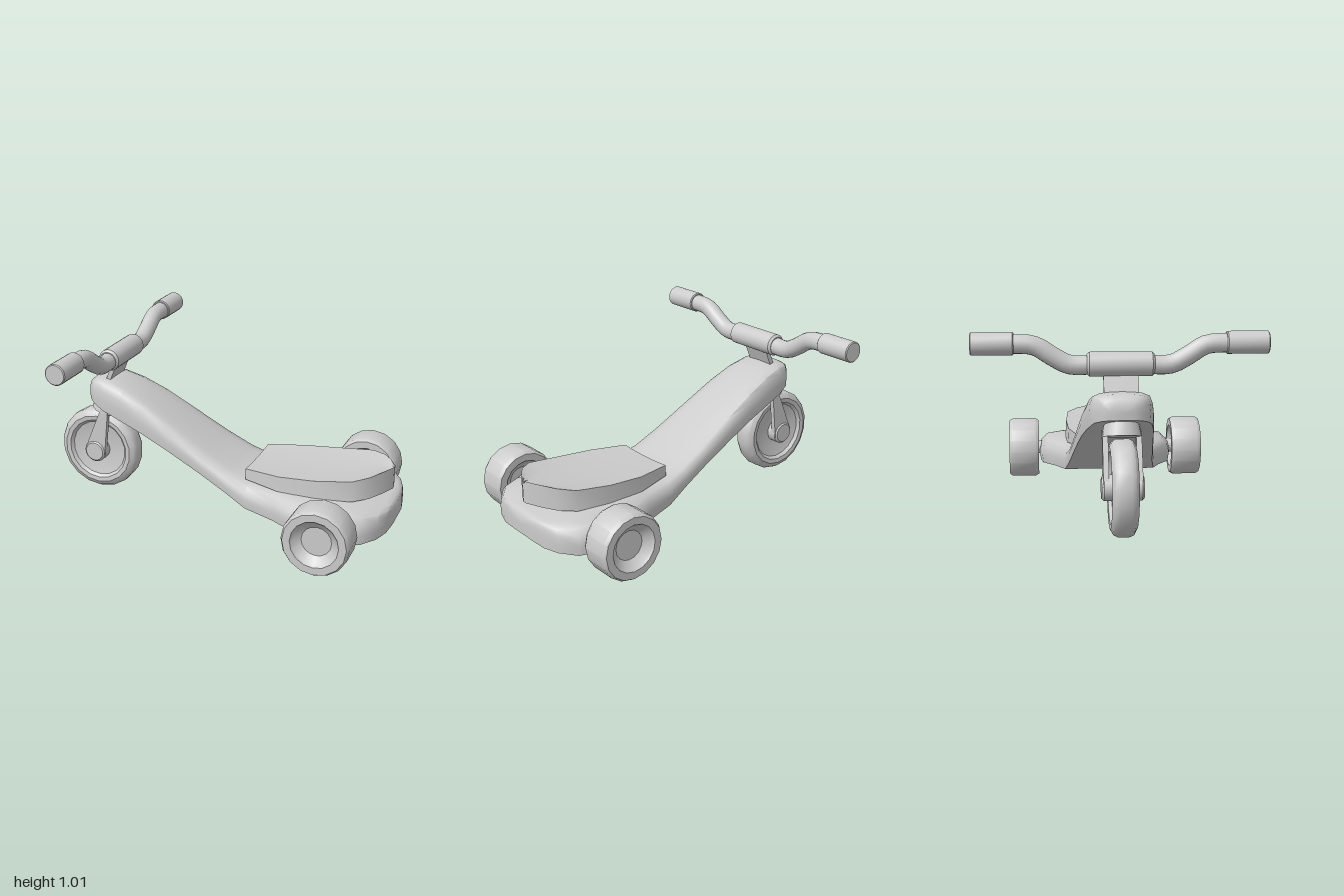
import * as THREE from 'three';
import { toCreasedNormals } from 'three/addons/utils/BufferGeometryUtils.js';

const material = new THREE.MeshStandardMaterial({ color: 0xcccccc, side: THREE.DoubleSide });
const v2 = (a) => a.map(([x, y]) => new THREE.Vector2(x, y));

function add(parent, name, geometry, crease = 0.6) {
  const mesh = new THREE.Mesh(toCreasedNormals(geometry, crease), material);
  mesh.name = name;
  parent.add(mesh);
  return mesh;
}

// Skins stations [x, halfWidth, bottom, top] with a half section of [width, height] fractions
function loft(stations, half) {
  const section = [...half, ...half.slice(0, -1).reverse().map(([w, h]) => [-w, h])];
  const n = section.length;
  const pos = [];
  const index = [];
  for (const [x, w, lo, hi] of stations)
    for (const [a, b] of section) pos.push(x, lo + (hi - lo) * b, a * w);
  for (let i = 0; i < stations.length - 1; i++)
    for (let j = 0; j < n; j++) {
      const a = i * n + j, b = i * n + (j + 1) % n;
      index.push(a, a + n, b, b, a + n, b + n);
    }
  // End caps
  [0, stations.length - 1].forEach((i, end) => {
    const [x, , lo, hi] = stations[i];
    const c = pos.length / 3;
    pos.push(x, (lo + hi) / 2, 0);
    for (let j = 0; j < n; j++) {
      const a = i * n + j, b = i * n + (j + 1) % n;
      if (end) index.push(c, b, a);
      else index.push(c, a, b);
    }
  });
  const g = new THREE.BufferGeometry();
  g.setAttribute('position', new THREE.Float32BufferAttribute(pos, 3));
  g.setIndex(index);
  return g;
}

// Wheel turned about the z axis from a half profile of [radius, z], hub to tread
function wheel(half, segments = 16) {
  const profile = [...half.map(([r, z]) => [r, -z]), ...[...half].reverse()];
  return new THREE.LatheGeometry(v2(profile), segments).rotateX(Math.PI / 2);
}

// Cylinder along z with chamfered ends
function roundBar(r, length, chamfer = 0.01) {
  const h = length / 2;
  return wheel([[0, h], [r - chamfer, h], [r, h - chamfer]], 20);
}

export function createModel() {
  const model = new THREE.Group();
  model.name = 'tricycle';

  // Body: narrow raised neck sweeping down to a broad rear deck
  add(model, 'body', loft([
    [-0.785, 0.06, 0.595, 0.66],
    [-0.77, 0.1, 0.59, 0.695],
    [-0.73, 0.14, 0.575, 0.715],
    [-0.665, 0.16, 0.545, 0.72],
    [-0.55, 0.175, 0.505, 0.685],
    [-0.415, 0.19, 0.455, 0.62],
    [-0.255, 0.205, 0.385, 0.525],
    [-0.045, 0.225, 0.285, 0.4],
    [0.1, 0.24, 0.21, 0.325],
    [0.225, 0.26, 0.145, 0.28],
    [0.4, 0.31, 0.128, 0.275],
    [0.55, 0.385, 0.118, 0.275],
    [0.65, 0.4, 0.114, 0.275],
    [0.8, 0.4, 0.112, 0.275],
    [0.89, 0.37, 0.11, 0.262],
    [0.955, 0.28, 0.11, 0.25],
    [0.985, 0.19, 0.112, 0.245],
    [1.0, 0.1, 0.125, 0.225],
  ], [[0.98, 0], [1, 0.35], [0.97, 0.65], [0.88, 0.87], [0.65, 0.96], [0.35, 0.99], [0, 1]]), 0.85);

  // Seat: shallow dish rising toward the back
  add(model, 'seat', loft([
    [0.2, 0.185, 0.285, 0.345],
    [0.4, 0.235, 0.268, 0.352],
    [0.6, 0.243, 0.268, 0.365],
    [0.8, 0.228, 0.275, 0.388],
    [0.88, 0.165, 0.28, 0.4],
    [0.93, 0.09, 0.285, 0.408],
    [0.97, 0.012, 0.29, 0.412],
  ], [[1, 0], [0.98, 1], [0.65, 0.93], [0.3, 0.89], [0, 0.88]]));

  // Rear wheels and axle
  const rear = new THREE.Group();
  rear.name = 'rearWheels';
  model.add(rear);
  for (const side of [-1, 1]) {
    add(rear, side > 0 ? 'leftRearWheel' : 'rightRearWheel', wheel([
      [0, 0.045], [0.08, 0.045], [0.12, 0.075], [0.128, 0.089], [0.168, 0.089], [0.18, 0.07],
    ])).position.set(0.713, 0.183, side * 0.494);
  }
  add(rear, 'rearAxle', roundBar(0.04, 0.9)).position.set(0.713, 0.183, 0);

  // Front wheel
  add(model, 'frontWheel', wheel([
    [0, 0.03], [0.1, 0.03], [0.165, 0.045], [0.18, 0.062], [0.205, 0.065], [0.232, 0.05], [0.242, 0.03],
  ], 18)).position.set(-0.76, 0.26, 0);

  // Fork: two tapered legs with round hub caps, hung from a collar
  const fork = new THREE.Group();
  fork.name = 'fork';
  model.add(fork);
  const leg = new THREE.Shape(v2([[-0.82, 0.275], [-0.7, 0.24], [-0.668, 0.53], [-0.712, 0.53]]));
  for (const side of [-1, 1]) {
    add(fork, 'forkLeg', new THREE.ExtrudeGeometry(leg, { depth: 0.028, bevelEnabled: false }))
      .position.z = side * 0.083 - 0.014;
    add(fork, 'hubCap', roundBar(0.065, 0.08, 0.012)).position.set(-0.76, 0.26, side * 0.065);
  }
  const collar = add(fork, 'forkCollar', new THREE.CylinderGeometry(0.08, 0.1, 0.1, 16));
  collar.position.set(-0.69, 0.55, 0);
  collar.rotation.z = -0.24;

  // Steering: flat stem, clamp, bent bars and grips
  const steering = new THREE.Group();
  steering.name = 'steering';
  model.add(steering);
  const stem = add(steering, 'stem', new THREE.BoxGeometry(0.025, 0.2, 0.172));
  stem.position.set(-0.645, 0.745, 0);
  stem.rotation.z = -0.4;
  add(steering, 'clamp', roundBar(0.061, 0.335, 0.012)).position.set(-0.615, 0.85, 0);
  for (const side of [-1, 1]) {
    const path = new THREE.CatmullRomCurve3(
      [[0.12, 0.848], [0.25, 0.848], [0.335, 0.89], [0.425, 0.943], [0.55, 0.952]]
        .map(([z, y]) => new THREE.Vector3(-0.615, y, side * z)));
    add(steering, 'handlebar', new THREE.TubeGeometry(path, 14, 0.048, 16));
    add(steering, 'grip', roundBar(0.057, 0.212, 0.005)).position.set(-0.615, 0.953, side * 0.63);
  }
  return model;
}
